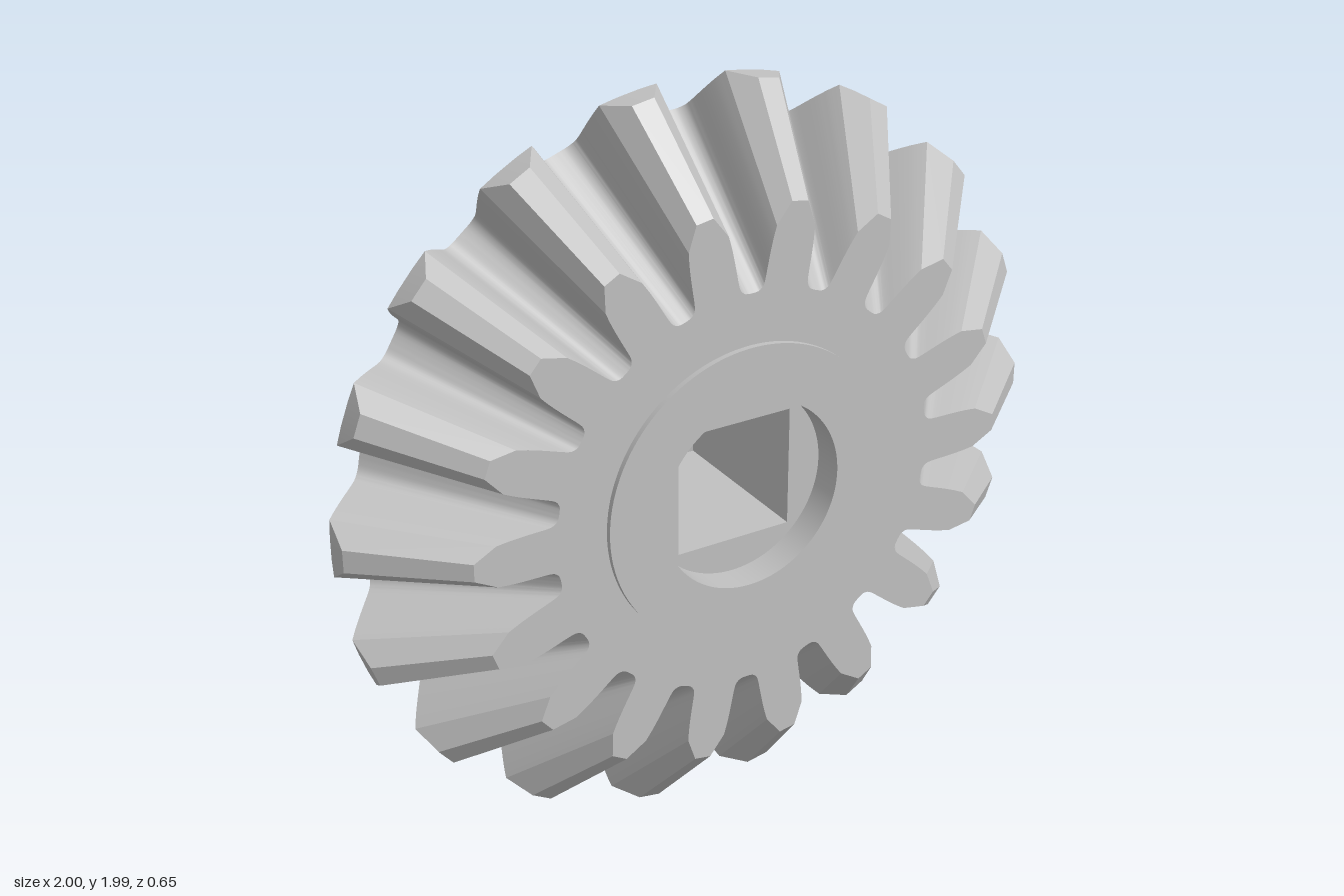
import * as THREE from 'three';
import { toCreasedNormals } from 'three/addons/utils/BufferGeometryUtils.js';

const TEETH = 18;
const FRONT = 0.31;   // plane of the toothed face
const APEX = 0.97;    // all tooth surfaces converge on this point of the axis
const BELT = 0.03;    // widest plane, where the back cone starts
const RIM = -0.235;   // plane of the back rim

// Outline of one pitch on the front plane: [angle from valley centre, radius]
function pitchOutline() {
  const valley = new THREE.SplineCurve([
    [0, 0.54], [0.018, 0.542], [0.031, 0.553], [0.037, 0.57],
    [0.043, 0.6], [0.05, 0.635], [0.058, 0.67], [0.067, 0.702],
  ].map(([x, r]) => new THREE.Vector2(x, r))).getPoints(21);
  const half = [...valley.map((p) => [p.x, p.y]), [0.109, 0.76]]
    .map(([x, r]) => [Math.asin(x / r), r]);
  const mirrored = half.slice(1).reverse().map(([a, r]) => [-a, r]);
  return [...mirrored, ...half];
}

// Section through the gear body at one angle, front to back, as [radius, z]
function section(rf) {
  const k = rf / (APEX - FRONT);
  const zBelt = APEX - 1 / k;
  let hit, corner;
  if (zBelt > BELT + 0.0005) {
    hit = [1, zBelt];
    corner = [1, BELT];
  } else {
    const z = (k * APEX - (1 - BELT)) / (1 + k);
    hit = corner = [1 - BELT + z, z];
  }
  return [[0.4, FRONT], [rf, FRONT], hit, corner, [0.735, RIM], [0.7, RIM], [0.4, 0.1]];
}

function gearBodyGeometry() {
  const outline = pitchOutline();
  const columns = [];
  for (let t = 0; t < TEETH; t++) {
    const centre = ((t + 0.5) / TEETH) * Math.PI * 2;
    for (const [a, r] of outline) {
      columns.push(section(r).map(([rad, z]) =>
        new THREE.Vector3(rad * Math.cos(centre + a), rad * Math.sin(centre + a), z)));
    }
  }
  const pos = [];
  const tri = (a, b, c) => {
    const area = b.clone().sub(a).cross(c.clone().sub(a)).length();
    if (area > 1e-8) for (const p of [a, b, c]) pos.push(p.x, p.y, p.z);
  };
  columns.forEach((col, j) => {
    const next = columns[(j + 1) % columns.length];
    for (let i = 0; i < col.length - 1; i++) {
      tri(col[i], col[i + 1], next[i + 1]);
      tri(col[i], next[i + 1], next[i]);
    }
  });
  const g = new THREE.BufferGeometry();
  g.setAttribute('position', new THREE.Float32BufferAttribute(pos, 3));
  return toCreasedNormals(g, 0.3);
}

// Disc with a hole, extruded between two planes
function plateGeometry(radius, hole, z0, z1) {
  const shape = new THREE.Shape().absarc(0, 0, radius, 0, Math.PI * 2, false);
  shape.holes.push(hole);
  const g = new THREE.ExtrudeGeometry(shape, { depth: z1 - z0, bevelEnabled: false, curveSegments: 64 });
  g.translate(0, 0, z0);
  return toCreasedNormals(g, 0.4);
}

export function createModel() {
  const steel = new THREE.MeshStandardMaterial({ color: 0xc0c0c0 });
  steel.name = 'steel grey';
  const model = new THREE.Group();
  model.name = 'bevelGear';
  const gear = new THREE.Group();
  gear.name = 'gear';
  gear.position.y = 0.995;
  model.add(gear);
  const add = (name, geometry) => {
    const mesh = new THREE.Mesh(geometry, steel);
    mesh.name = name;
    gear.add(mesh);
    return mesh;
  };

  // Toothed cone with its hollow back
  add('toothedBody', gearBodyGeometry());

  // Hub: round counterbores at both ends, square bore between
  const round = () => new THREE.Path().absarc(0, 0, 0.255, 0, Math.PI * 2, true);
  const s = 0.163;
  const square = new THREE.Path([[-s, -s], [-s, s], [s, s], [s, -s]].map((p) => new THREE.Vector2(...p)));
  square.closePath();
  add('frontCollar', plateGeometry(0.405, round(), 0.24, 0.325));
  add('hubCore', plateGeometry(0.405, square, -0.225, 0.24));
  add('backCollar', plateGeometry(0.405, round(), -0.325, -0.225));

  // Triangular ribs joining hub and rim at the back
  const rib = new THREE.Shape([[0.39, RIM], [0.705, RIM], [0.39, 0.12]].map((p) => new THREE.Vector2(...p)));
  const ribGeometry = new THREE.ExtrudeGeometry(rib, { depth: 0.08, bevelEnabled: false });
  ribGeometry.translate(0, 0, -0.04);
  ribGeometry.rotateX(Math.PI / 2);
  for (let i = 0; i < 8; i++) add('rib', ribGeometry).rotation.z = (i * Math.PI) / 4;

  return model;
}
